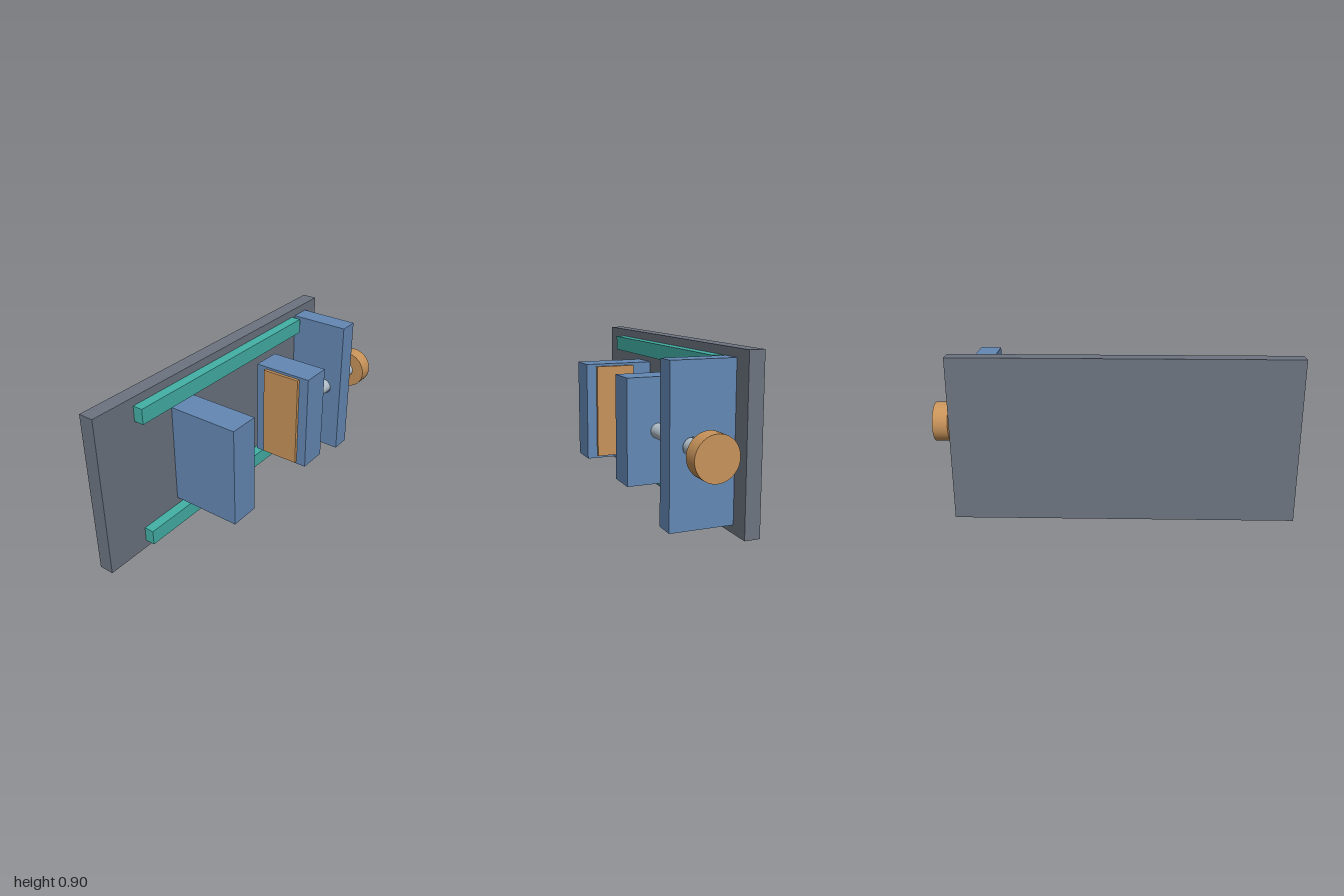
import * as THREE from 'three';

const material = (name, color) => {
  const m = new THREE.MeshStandardMaterial({ color });
  m.name = name;
  return m;
};

export function createModel() {
  const model = new THREE.Group();
  model.name = 'screwClamp';

  const slate = material('slate grey', 0x6c7480);
  const blue = material('steel blue', 0x6488b4);
  const teal = material('teal', 0x43b0a6);
  const copper = material('copper', 0xc8935a);
  const steel = material('pale steel', 0xb0bec9);

  const add = (name, geometry, mat) => {
    const mesh = new THREE.Mesh(geometry, mat);
    mesh.name = name;
    model.add(mesh);
    return mesh;
  };
  // Box given by its extents along each axis
  const box = (name, mat, [x0, x1], [y0, y1], [z0, z1]) =>
    add(name, new THREE.BoxGeometry(x1 - x0, y1 - y0, z1 - z0), mat)
      .position.set((x0 + x1) / 2, (y0 + y1) / 2, (z0 + z1) / 2);

  const plateFront = -0.156, railFront = -0.1;
  const axisY = 0.453, axisZ = 0.071;

  // Cylinder lying along x on the screw axis
  const rod = (name, mat, x0, x1, radius) => {
    const g = new THREE.CylinderGeometry(radius, radius, x1 - x0, 48).rotateZ(-Math.PI / 2);
    add(name, g, mat).position.set((x0 + x1) / 2, axisY, axisZ);
  };

  // Back plate and its two guide rails
  box('backPlate', slate, [-1, 0.855], [0, 0.905], [-0.239, plateFront]);
  box('lowerRail', teal, [-0.747, 0.6], [0.045, 0.129], [plateFront, railFront]);
  box('upperRail', teal, [-0.747, 0.6], [0.776, 0.86], [plateFront, railFront]);

  // Fixed jaw on the plate, sliding jaw at rail height, each with a pad
  const jawY = [0.172, 0.734], padY = [0.186, 0.72], padZ = [-0.042, 0.183];
  box('fixedJaw', blue, [-0.488, -0.319], jawY, [plateFront, 0.24]);
  box('slidingJaw', blue, [0.171, 0.34], jawY, [railFront, 0.24]);
  box('fixedJawPad', copper, [-0.319, -0.3], padY, padZ);
  box('slidingJawPad', copper, [0.153, 0.171], padY, padZ);

  // Screw block: a (z, y) outline with a clearance hole, extruded along x
  const outline = new THREE.Shape([
    [-0.184, 0.045], [-plateFront, 0.045], [-plateFront, 0.86], [-0.184, 0.86],
  ].map(([x, y]) => new THREE.Vector2(x, y)));
  outline.holes.push(new THREE.Path().absarc(-axisZ, axisY, 0.046, 0, Math.PI * 2, true));
  const block = new THREE.ExtrudeGeometry(outline, { depth: 0.112, bevelEnabled: false, curveSegments: 32 });
  block.rotateY(Math.PI / 2);
  add('screwBlock', block, blue).position.x = 0.63;

  // Screw and knob
  rod('screw', steel, 0.335, 0.92, 0.04);
  rod('knob', copper, 0.915, 1, 0.112);

  return model;
}
